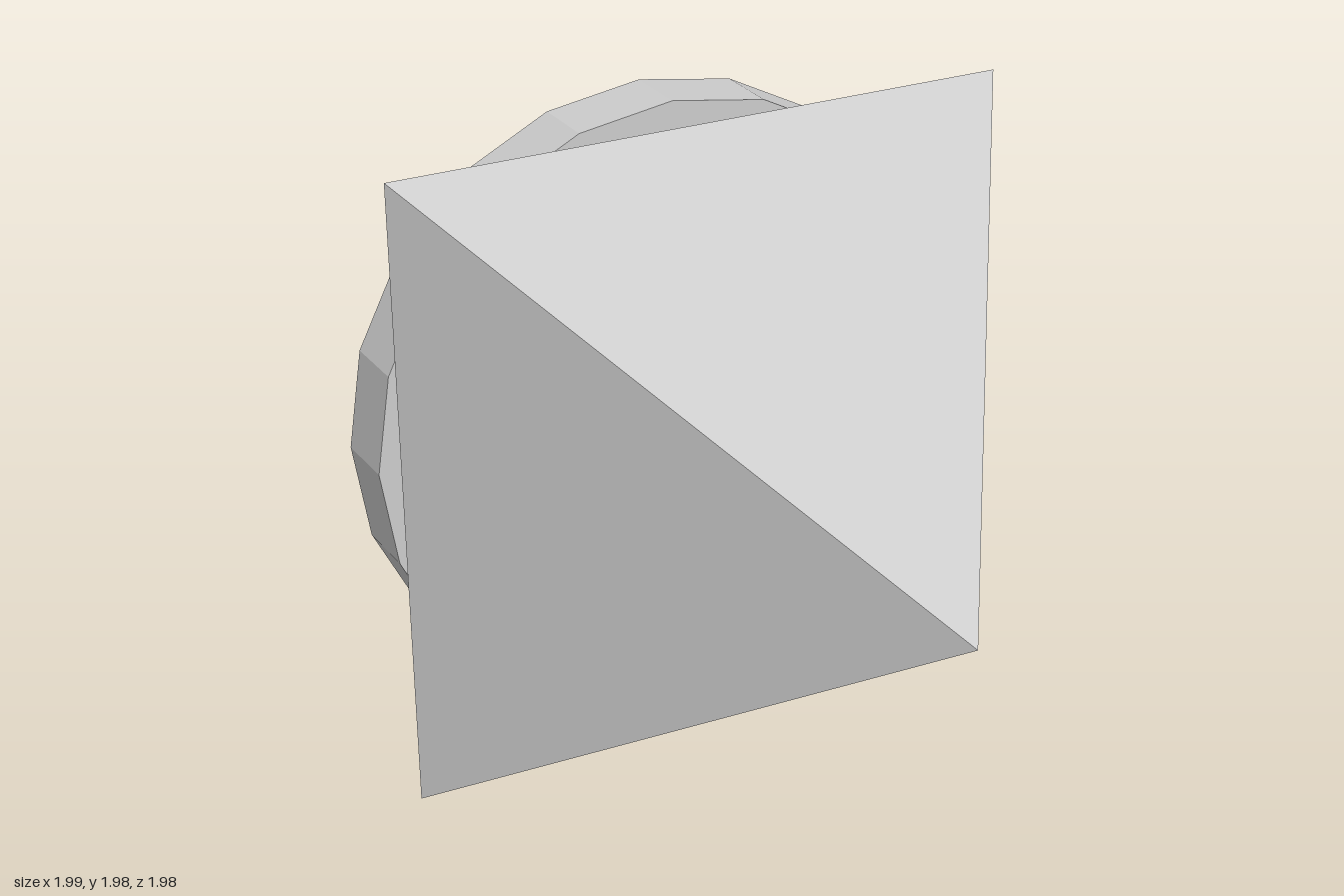
import * as THREE from 'three';

export function createModel() {
  const group = new THREE.Group();
  const material = new THREE.MeshStandardMaterial({ color: 0xcccccc, flatShading: true });
  const midY = 0.995;

  // Adds a solid whose axis runs along z, from zBack to zFront
  function addPart(name, geometry, x, zBack, zFront) {
    geometry.rotateX(Math.PI / 2);
    const mesh = new THREE.Mesh(geometry, material);
    mesh.name = name;
    mesh.position.set(x, midY, (zBack + zFront) / 2);
    group.add(mesh);
  }

  // Square spike pointing forward, sides of the base upright
  const spike = new THREE.ConeGeometry(0.99 * Math.SQRT2, 1.54, 4);
  spike.rotateY(Math.PI / 4);
  addPart('spike', spike, -0.01, -0.55, 0.99);

  // Short neck and wide back disc, both twenty-sided
  addPart('neck', new THREE.CylinderGeometry(0.605, 0.605, 0.22, 20), 0.005, -0.77, -0.55);
  addPart('backDisc', new THREE.CylinderGeometry(0.99, 0.99, 0.22, 20), 0.005, -0.99, -0.77);

  return group;
}
